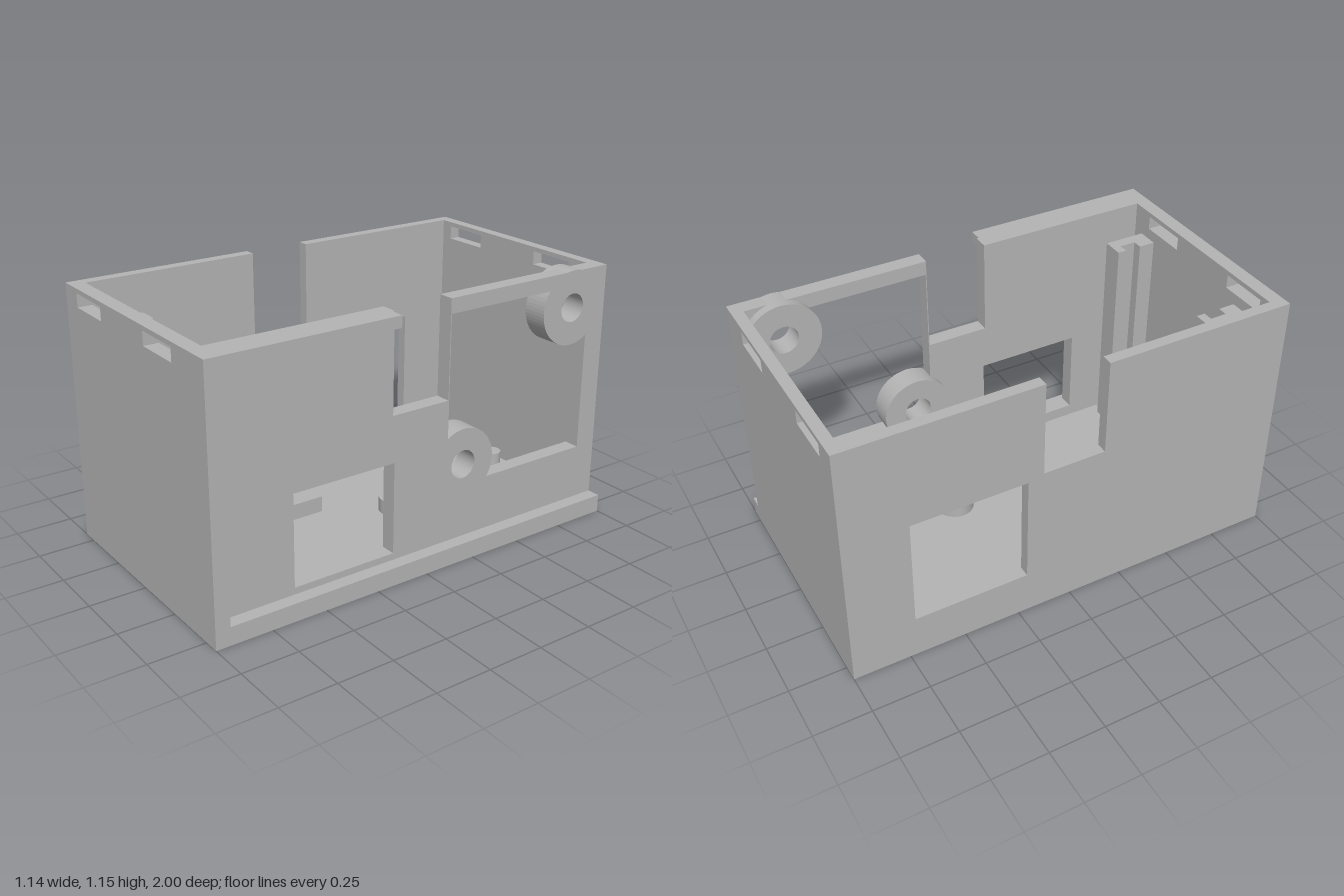
import * as THREE from 'three';

export function createModel() {
  const model = new THREE.Group();
  model.name = 'enclosure';
  const plastic = new THREE.MeshStandardMaterial({ color: 0xb4b4b4 });
  plastic.name = 'grey plastic';
  plastic.flatShading = false;

  const add = (name, geometry) => {
    const mesh = new THREE.Mesh(geometry, plastic);
    mesh.name = name;
    model.add(mesh);
    return mesh;
  };
  // Box given by its minimum and maximum on each axis
  const box = (name, x0, x1, y0, y1, z0, z1) =>
    add(name, new THREE.BoxGeometry(x1 - x0, y1 - y0, z1 - z0)
      .translate((x0 + x1) / 2, (y0 + y1) / 2, (z0 + z1) / 2));
  const polygon = (points) => new THREE.Shape(points.map(([a, b]) => new THREE.Vector2(a, b)));
  const rectHole = (a0, a1, b0, b1) => polygon([[a0, b0], [a0, b1], [a1, b1], [a1, b0]]);
  const extrude = (shape, depth) =>
    new THREE.ExtrudeGeometry(shape, { depth, bevelEnabled: false, curveSegments: 32 });
  // Side profiles are drawn as (-z, y) and extruded along x
  const sidePlate = (name, shape, x0, x1) =>
    add(name, extrude(shape, x1 - x0).rotateY(Math.PI / 2).translate(x0, 0, 0));

  const H = 1.15, FLOOR = 0.055;

  // Floor and the ledge under the recessed side
  box('floor', -0.57, 0.57, 0, FLOOR, -1, 1);
  box('coverLedge', 0.51, 0.57, FLOOR, 0.08, -1, 0.935);

  // Front and back walls with a pair of slots each
  const endWall = (name, x1, z0, z1) => {
    const shape = polygon([[-0.57, FLOOR], [x1, FLOOR], [x1, H], [-0.57, H]]);
    for (const [a, b] of [[-0.465, -0.245], [0.115, 0.335]]) {
      shape.holes.push(rectHole(a, b, 1.07, 1.13));
    }
    add(name, extrude(shape, z1 - z0).translate(0, 0, z0));
  };
  endWall('frontWall', 0.57, 0.935, 1);
  endWall('backWall', 0.44, -1, -0.95);

  // Side outline with the cable notch in the top edge
  const sideOutline = (u0, u1) => polygon([
    [u0, FLOOR], [u1, FLOOR], [u1, H], [0.14, H], [0.14, 0.72], [-0.14, 0.72], [-0.14, H], [u0, H],
  ]);

  // Plain side wall with one window
  const plain = sideOutline(-0.935, 0.95);
  plain.holes.push(rectHole(0.21, 0.72, 0.2, 0.7));
  sidePlate('plainSideWall', plain, -0.57, -0.52);

  // Recessed side wall with a small window and a large opening
  const recessed = sideOutline(-0.935, 1);
  recessed.holes.push(rectHole(-0.61, -0.13, 0.11, 0.515));
  recessed.holes.push(rectHole(0.144, 0.9, 0.325, 1.085));
  sidePlate('recessedSideWall', recessed, 0.44, 0.51);

  // Overhanging lip that retains the cover
  box('coverLip', 0.51, 0.57, 1.1, H, 0.15, 0.935);

  // Screw bosses across corners of the large opening
  for (const [u, y, r] of [[0.81, 0.99, 0.165], [0.23, 0.415, 0.16]]) {
    const ring = new THREE.Shape().absarc(u, y, r, 0, Math.PI * 2, false);
    ring.holes.push(new THREE.Path().absarc(u, y, 0.063, 0, Math.PI * 2, true));
    sidePlate('screwBoss', ring, 0.4, 0.51);
  }

  // Stepped standoffs on the floor
  for (const z of [-0.75, -0.2]) {
    const profile = [[0, 0.2], [0.045, 0.2], [0.045, 0.12], [0.085, 0.12], [0.085, FLOOR]];
    // Each step is doubled so its edge stays sharp
    profile.slice(0, -1).forEach(([r, y], i) => {
      const [r2, y2] = profile[i + 1];
      add('standoff', new THREE.LatheGeometry(
        [new THREE.Vector2(r2, y2), new THREE.Vector2(r, y)], 32).translate(0.11, 0, z));
    });
  }

  // Low rib on the floor
  box('floorRib', -0.17, -0.065, FLOOR, 0.128, 0.09, 0.64);

  // Upright slotted rails facing each other on the front wall
  const rail = (name, outer, inner, slot) => {
    const span = (a, b, z0, z1) =>
      box(name, Math.min(a, b), Math.max(a, b), FLOOR, 1.02, z0, z1);
    span(outer, slot, 0.745, 0.94);
    span(slot, inner, 0.745, 0.785);
    span(slot, inner, 0.86, 0.94);
  };
  rail('rightRail', -0.4, -0.305, -0.35);
  rail('leftRail', 0.388, 0.29, 0.335);

  return model;
}
